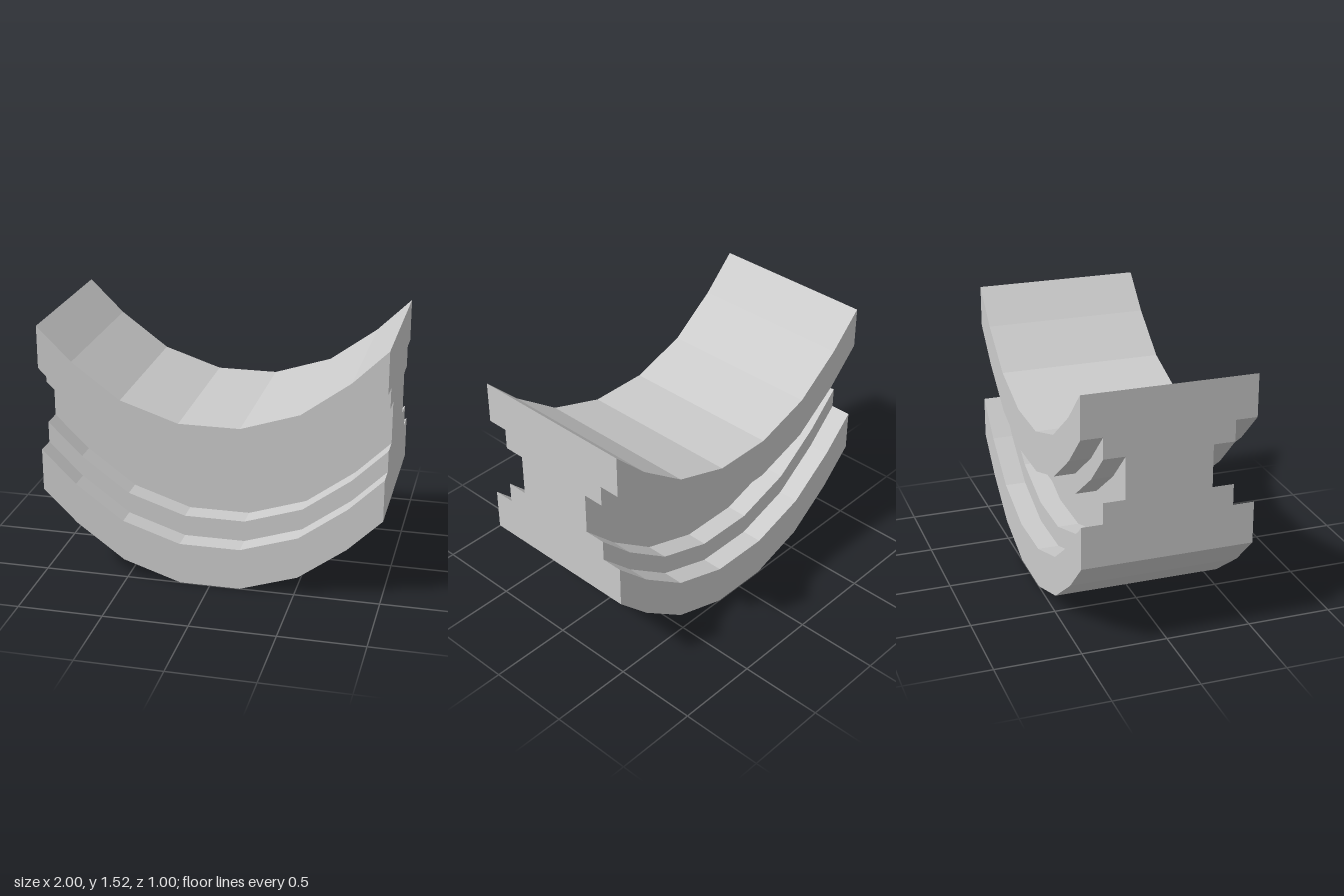
import * as THREE from 'three';

// Stations along x and how far the section is lifted at each one
const STATIONS = [[-1, 0.518], [-0.8, 0.32], [-0.519, 0.112], [-0.179, 0],
  [0.179, 0], [0.519, 0.112], [0.8, 0.32], [1, 0.518]];

// Half of the block's section: a stepped groove cut into its side
const HALF = [[0.5, 0], [0.5, 0.25], [0.375, 0.25], [0.375, 0.375], [0.25, 0.375],
  [0.25, 0.625], [0.375, 0.625], [0.375, 0.75], [0.5, 0.75], [0.5, 1]];

// The groove is wide (0.5) at the face and narrow (0.25) at its floor
function sectionShape() {
  const half = [[0.5, 0], [0.5, 0.25], [0.375, 0.25], [0.375, 0.375], [0.25, 0.375]];
  const right = [...half, ...half.map(([z, y]) => [z, 1 - y]).reverse()];
  const left = right.map(([z, y]) => [-z, y]).reverse();
  return new THREE.Shape([...right, ...left].map(([z, y]) => new THREE.Vector2(z, y)));
}

export function createModel() {
  const group = new THREE.Group();
  group.name = 'curvedGroovedBlock';

  // Straight bar with one extrusion step per station, then bent by lifting each step
  const steps = STATIONS.length - 1;
  const geometry = new THREE.ExtrudeGeometry(sectionShape(), { depth: steps, steps, bevelEnabled: false });
  geometry.rotateY(Math.PI / 2);
  const pos = geometry.attributes.position;
  for (let i = 0; i < pos.count; i++) {
    const [x, lift] = STATIONS[Math.round(pos.getX(i))];
    pos.setX(i, x);
    pos.setY(i, pos.getY(i) + lift);
  }
  geometry.computeVertexNormals();

  const block = new THREE.Mesh(geometry, new THREE.MeshStandardMaterial({ color: 0xcccccc, flatShading: true }));
  block.name = 'curvedBlock';
  group.add(block);
  return group;
}
